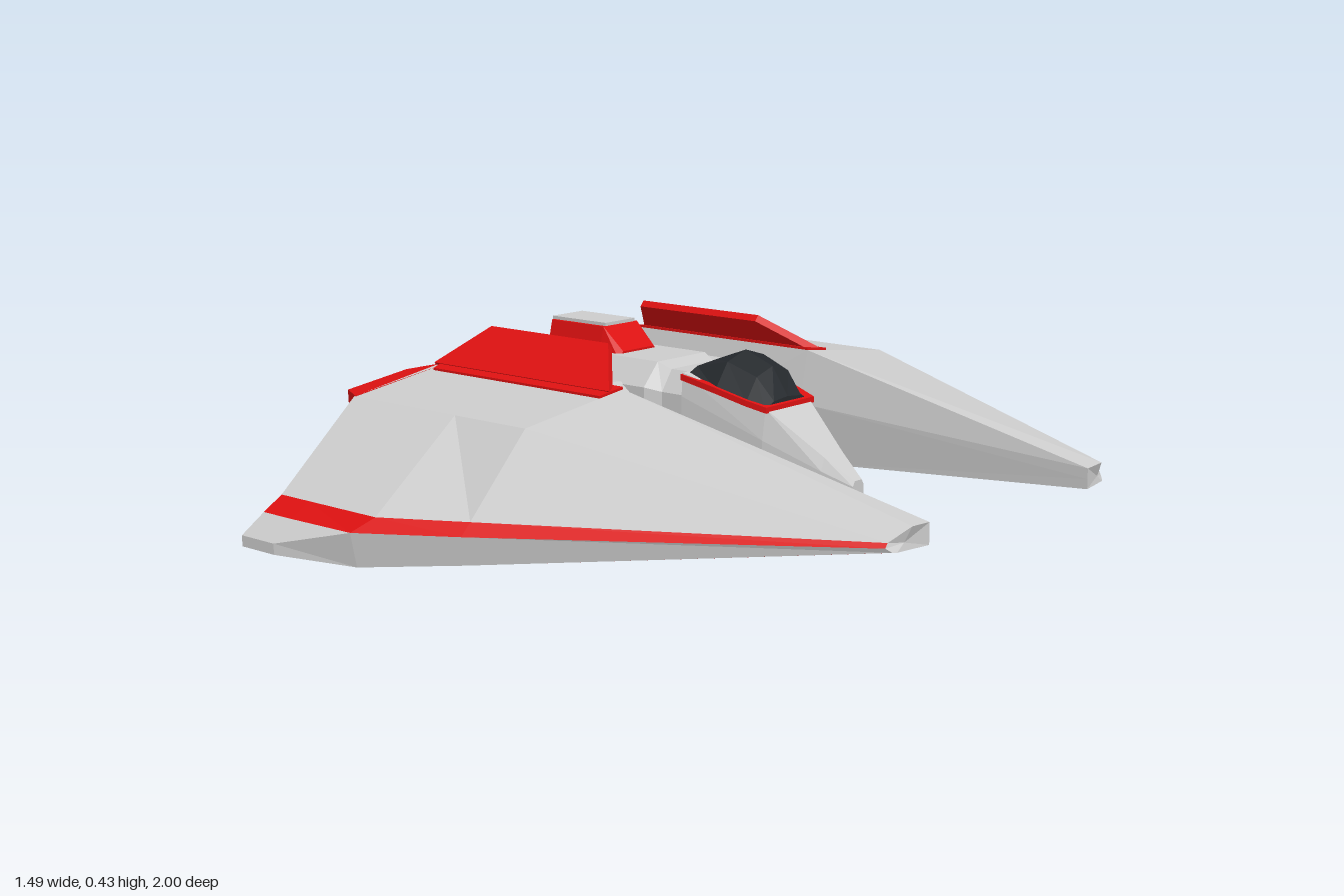
import * as THREE from 'three';

const paint = (color) => new THREE.MeshStandardMaterial({ color, flatShading: true });
const MAT = {
  grey: paint(0xcccccc), red: paint(0xdd1111), glass: paint(0x25292d),
  metal: paint(0x666677), glow: paint(0x2f8797),
};

function addMesh(group, name, geometry, mat) {
  const mesh = new THREE.Mesh(geometry, mat);
  mesh.name = name;
  group.add(mesh);
  return mesh;
}

// Skin between loops of [x, y, z]; loops run counter-clockwise seen from the direction of travel.
// side = -1 mirrors in z. strips picks which columns to build; caps close both ends.
function loft(sections, { side = 1, strips = null, caps = true } = {}) {
  const pos = [];
  const n = sections[0].length;
  const tri = (a, b, c) => {
    for (const p of side > 0 ? [a, b, c] : [a, c, b]) pos.push(p[0], p[1], p[2] * side);
  };
  for (let i = 0; i + 1 < sections.length; i++) {
    for (let j = 0; j < n; j++) {
      if (strips && !strips.includes(j)) continue;
      const k = (j + 1) % n, s = sections[i], t = sections[i + 1];
      tri(s[j], s[k], t[k]);
      tri(s[j], t[k], t[j]);
    }
  }
  if (caps) {
    for (const loop of [sections[0], sections.at(-1)]) {
      const c = [0, 1, 2].map((a) => loop.reduce((sum, p) => sum + p[a], 0) / n);
      for (let j = 0; j < n; j++) {
        const p = loop[j], q = loop[(j + 1) % n];
        if (loop === sections[0]) tri(c, q, p);
        else tri(c, p, q);
      }
    }
  }
  const g = new THREE.BufferGeometry();
  g.setAttribute('position', new THREE.Float32BufferAttribute(pos, 3));
  g.computeVertexNormals();
  return g;
}

// Flat slab: an outline pushed along an offset
function plate(outline, offset, side) {
  const v = outline.map((p) => new THREE.Vector3(...p));
  const normal = v[1].clone().sub(v[0]).cross(v[2].clone().sub(v[0]));
  const loop = normal.dot(new THREE.Vector3(...offset)) < 0 ? [...outline].reverse() : outline;
  return loft([loop, loop.map((p) => p.map((c, i) => c + offset[i]))], { side });
}

// Eight-sided fuselage ring, symmetric in z
function ring([x, wTop, wMid, wBot, yTop, yUp, yLow, yBot]) {
  const half = [[wTop, yTop], [wMid, yUp], [wMid, yLow], [wBot, yBot]];
  return [...half.map(([w, y]) => [x, y, w]), ...half.reverse().map(([w, y]) => [x, y, -w])];
}

// Hollow eight-sided nozzle opening toward -x, with a lit disc inside
function nozzle(name, xFront, xRear, y, z, rFront, rRear) {
  const group = new THREE.Group();
  group.name = name;
  const len = xFront - xRear;
  const profile = [[rFront, 0], [rFront, len * 0.45], [rRear, len], [rRear * 0.78, len], [rRear * 0.65, len * 0.5]];
  const shell = new THREE.LatheGeometry(profile.map((p) => new THREE.Vector2(...p)), 8);
  addMesh(group, 'nozzleShell', shell.rotateZ(Math.PI / 2), MAT.metal);
  const disc = new THREE.CircleGeometry(rRear * 0.72, 8).rotateY(-Math.PI / 2);
  addMesh(group, 'nozzleGlow', disc, MAT.glow).position.x = -len * 0.55;
  group.position.set(xFront, y, z);
  return group;
}

// Wing loop: inner top, ridge, stripe top, stripe bottom, tip top, tip bottom,
// underside stripe outer, underside stripe inner, inner bottom, inner middle
const WING = [
  [[-.655, .35, .34], [-.64, .31, .64], [-.585, .135, .9], [-.585, .105, .95], [-.6, .06, 1],
    [-.6, .035, 1], [-.588, .022, .94], [-.588, .028, .9], [-.6, .07, .31], [-.635, .22, .305]],
  [[-.49, .35, .34], [-.49, .31, .64], [-.49, .135, .9], [-.49, .105, .95], [-.49, .06, 1],
    [-.49, .035, 1], [-.49, .022, .94], [-.49, .028, .9], [-.49, .07, .31], [-.49, .22, .305]],
  [[-.3, .35, .34], [-.3, .31, .64], [-.27, .135, .9], [-.3, .105, .945], [-.3, .105, .945],
    [-.3, .026, .93], [-.3, .026, .93], [-.28, .03, .89], [-.3, .07, .31], [-.3, .22, .305]],
  [[-.08, .35, .335], [-.08, .31, .64], [-.08, .137, .805], [-.08, .11, .832], [-.08, .11, .832],
    [-.08, .046, .82], [-.08, .046, .82], [-.08, .048, .79], [-.08, .07, .31], [-.08, .22, .305]],
  [[.74, .175, .31], [.74, .178, .37], [.71, .147, .412], [.71, .137, .42], [.71, .137, .42],
    [.72, .128, .41], [.72, .128, .41], [.725, .127, .4], [.74, .127, .31], [.74, .15, .31]],
];

function wing(side) {
  const g = new THREE.Group();
  g.name = side > 0 ? 'leftWing' : 'rightWing';
  addMesh(g, 'wingHull', loft(WING, { side, strips: [0, 1, 3, 4, 5, 7, 8, 9] }), MAT.grey);
  addMesh(g, 'wingStripes', loft(WING, { side, strips: [2, 6], caps: false }), MAT.red);

  // Red armour along the inner edge, above and below, and the rear fins
  const slab = (name, outline, offset) => addMesh(g, name, plate(outline, offset, side), MAT.red);
  slab('upperPanel', [[-.625, .34, .41], [-.08, .34, .41], [-.08, .35, .335], [-.655, .35, .335]], [0, .006, 0]);
  slab('upperFlap', [[-.655, .352, .38], [-.08, .352, .38], [-.185, .435, .27], [-.57, .435, .27]], [0, -.014, -.012]);
  slab('lowerPanel', [[-.6, .063, .41], [-.08, .063, .41], [-.08, .07, .31], [-.6, .07, .31]], [0, -.006, 0]);
  slab('lowerFlap', [[-.62, .078, .34], [-.08, .078, .34], [-.18, .004, .245], [-.55, .004, .245]], [0, .012, -.012]);
  slab('upperFin', [[-.64, .35, .34], [-.745, .326, .39], [-.735, .305, .58], [-.635, .311, .64]], [0, -.03, 0]);
  slab('lowerFin', [[-.59, .065, .32], [-.745, .095, .39], [-.735, .085, .58], [-.585, .048, .64]], [0, .028, 0]);

  // Three engines shrinking toward the wing tip
  g.add(nozzle('largeEngine', -.56, -.715, .2, side * .5, .078, .07));
  g.add(nozzle('mediumEngine', -.55, -.68, .165, side * .685, .055, .05));
  g.add(nozzle('smallEngine', -.55, -.632, .108, side * .82, .04, .036));

  // Pylon joining wing and fuselage
  const pylon = [[.1, .12, .09], [.2, .12, .1], [.24, .115, .1], [.28, .085, .07], [.32, .08, .055]]
    .map(([z, rx, ry]) => Array.from({ length: 8 }, (_, i) => {
      const a = (i + 0.5) * Math.PI / 4;
      return [-.325 + rx * 1.08 * Math.cos(a), .222 + ry * 1.08 * Math.sin(a), z];
    }));
  addMesh(g, 'pylon', loft(pylon, { side }), MAT.grey);
  return g;
}

function fuselage() {
  const g = new THREE.Group();
  g.name = 'fuselage';
  addMesh(g, 'body', loft([
    [-.595, .07, .115, .07, .345, .295, .15, .11],
    [-.57, .085, .135, .085, .365, .31, .14, .097],
    [-.2, .085, .135, .085, .365, .31, .14, .097],
    [-.165, .075, .11, .075, .35, .3, .15, .11],
    [-.09, .075, .11, .075, .35, .3, .15, .11],
  ].map(ring)), MAT.grey);
  addMesh(g, 'nose', loft([
    [-.095, .115, .12, .08, .355, .3, .16, .1],
    [.125, .08, .092, .06, .292, .22, .14, .093],
    [.26, .035, .047, .03, .19, .16, .12, .09],
    [.33, .013, .02, .012, .142, .13, .108, .095],
  ].map(ring)), MAT.grey);

  // Canopy with a thin red rim around its base
  const frames = [[-.09, .115, .345, .372], [0, .11, .325, .405], [.08, .096, .303, .375], [.125, .083, .29, .31]];
  const arc = [[-1, 0], [-.6, .75], [0, 1], [.6, .75], [1, 0]];
  addMesh(g, 'canopy', loft(frames.map(([x, w, y, top]) =>
    arc.map(([u, v]) => [x, y + v * (top - y), u * w]))), MAT.glass);
  addMesh(g, 'canopyRim', loft(frames.map(([x, w, y], i) => [[-1, 1], [1, 1], [1, -1], [-1, -1]].map(([u, v]) =>
    [x + (i === 3 ? .008 : i === 0 ? -.008 : 0), y + v * .007, u * (w + .005)]))), MAT.red);

  // Raised dorsal block: red trim with a grey lid
  const trapezoid = (x, w, y, wTop, top) => [[x, top, -wTop], [x, top, wTop], [x, y, w], [x, y, -w]];
  addMesh(g, 'dorsalTrim', loft([
    trapezoid(-.575, .078, .35, .06, .425), trapezoid(-.4, .078, .35, .06, .425), trapezoid(-.34, .07, .35, .055, .37),
  ]), MAT.red);
  addMesh(g, 'dorsalLid', loft([
    trapezoid(-.58, .052, .35, .052, .433), trapezoid(-.4, .052, .35, .052, .433),
  ]), MAT.grey);

  g.add(nozzle('mainEngine', -.58, -.75, .225, 0, .09, .072));
  return g;
}

export function createModel() {
  const model = new THREE.Group();
  model.name = 'starfighter';
  model.add(fuselage(), wing(1), wing(-1));
  return model;
}
